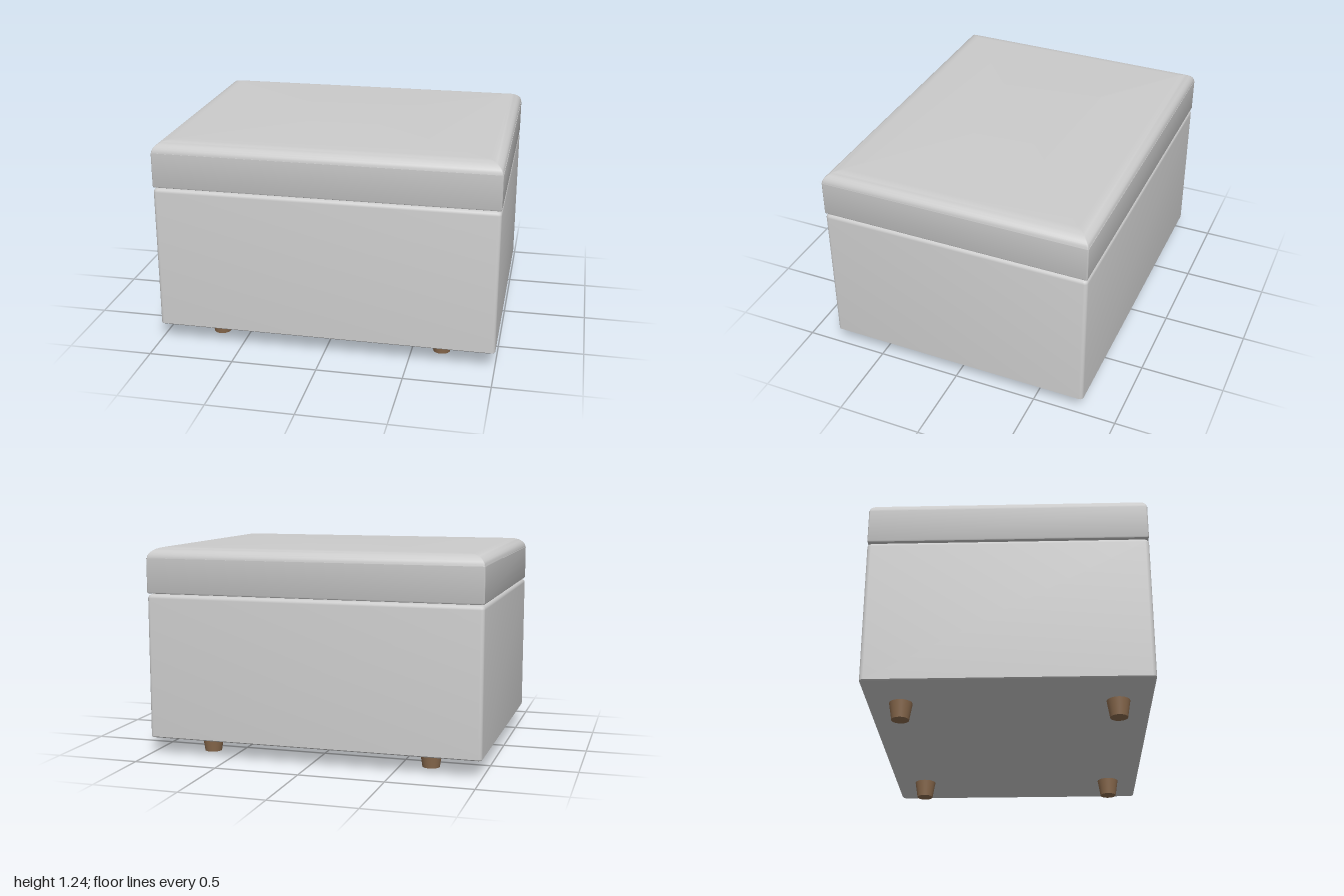
import * as THREE from 'three';
import { toCreasedNormals } from 'three/addons/utils/BufferGeometryUtils.js';

const HALF_X = 1, HALF_Z = 0.8, CORNER_STEPS = 4;

// Rounded rectangle ring at height y, inset from the full footprint
function ring(inset, y, radius) {
  const points = [];
  const cx = HALF_X - inset - radius, cz = HALF_Z - inset - radius;
  [[1, 1], [-1, 1], [-1, -1], [1, -1]].forEach(([sx, sz], q) => {
    for (let i = 0; i <= CORNER_STEPS; i++) {
      const a = (q + i / CORNER_STEPS) * Math.PI / 2;
      points.push([sx * cx + radius * Math.cos(a), y, sz * cz + radius * Math.sin(a)]);
    }
  });
  return points;
}

// Closed solid lofted through a bottom-to-top profile of [inset, y]
function loft(profile, radius) {
  const rings = profile.map(([inset, y]) => ring(inset, y, radius));
  const n = rings[0].length;
  const positions = [];
  const tri = (...corners) => corners.forEach((p) => positions.push(...p));
  const bottom = [0, profile[0][1], 0];
  const top = [0, profile[profile.length - 1][1], 0];
  for (let j = 0; j < n; j++) {
    const k = (j + 1) % n;
    for (let i = 0; i < rings.length - 1; i++) {
      const lo = rings[i], hi = rings[i + 1];
      tri(lo[j], hi[j], lo[k]);
      tri(lo[k], hi[j], hi[k]);
    }
    tri(bottom, rings[0][j], rings[0][k]);
    tri(top, rings[rings.length - 1][k], rings[rings.length - 1][j]);
  }
  const geometry = new THREE.BufferGeometry();
  geometry.setAttribute('position', new THREE.Float32BufferAttribute(positions, 3));
  return toCreasedNormals(geometry, 0.6);
}

// Quarter-ellipse edge rounding, from vertical side to flat top
function roundedEdge(inset, y0, width, height, steps) {
  return Array.from({ length: steps + 1 }, (_, i) => {
    const a = (i / steps) * Math.PI / 2;
    return [inset + width * (1 - Math.cos(a)), y0 + height * Math.sin(a)];
  });
}

export function createModel() {
  const group = new THREE.Group();
  const fabric = new THREE.MeshStandardMaterial({ color: 0xcccccc });
  const wood = new THREE.MeshStandardMaterial({ color: 0x8b6b4e });

  const add = (name, geometry, material) => {
    const mesh = new THREE.Mesh(geometry, material);
    mesh.name = name;
    group.add(mesh);
    return mesh;
  };

  // Storage box with softly rounded top rim
  add('body', loft([[0.006, 0.1], [0, 0.106], ...roundedEdge(0, 0.936, 0.024, 0.024, 5)], 0.022), fabric);

  // Padded lid: eased lower edge, straight side band, rounded cushion top
  add('lid', loft([[0.01, 0.964], [0.003, 0.967], [0, 0.974], [0, 1.172]], 0.008), fabric);
  add('cushion', loft(roundedEdge(0.002, 1.172, 0.09, 0.063, 8), 0.008), fabric);

  // Four tapered feet
  for (const [x, side] of [[0.675, 'Left'], [-0.675, 'Right']]) {
    for (const [z, end] of [[0.61, 'front'], [-0.61, 'back']]) {
      const foot = add(`${end}${side}Foot`, new THREE.CylinderGeometry(0.067, 0.05, 0.104, 32), wood);
      foot.position.set(x, 0.052, z);
    }
  }
  return group;
}
